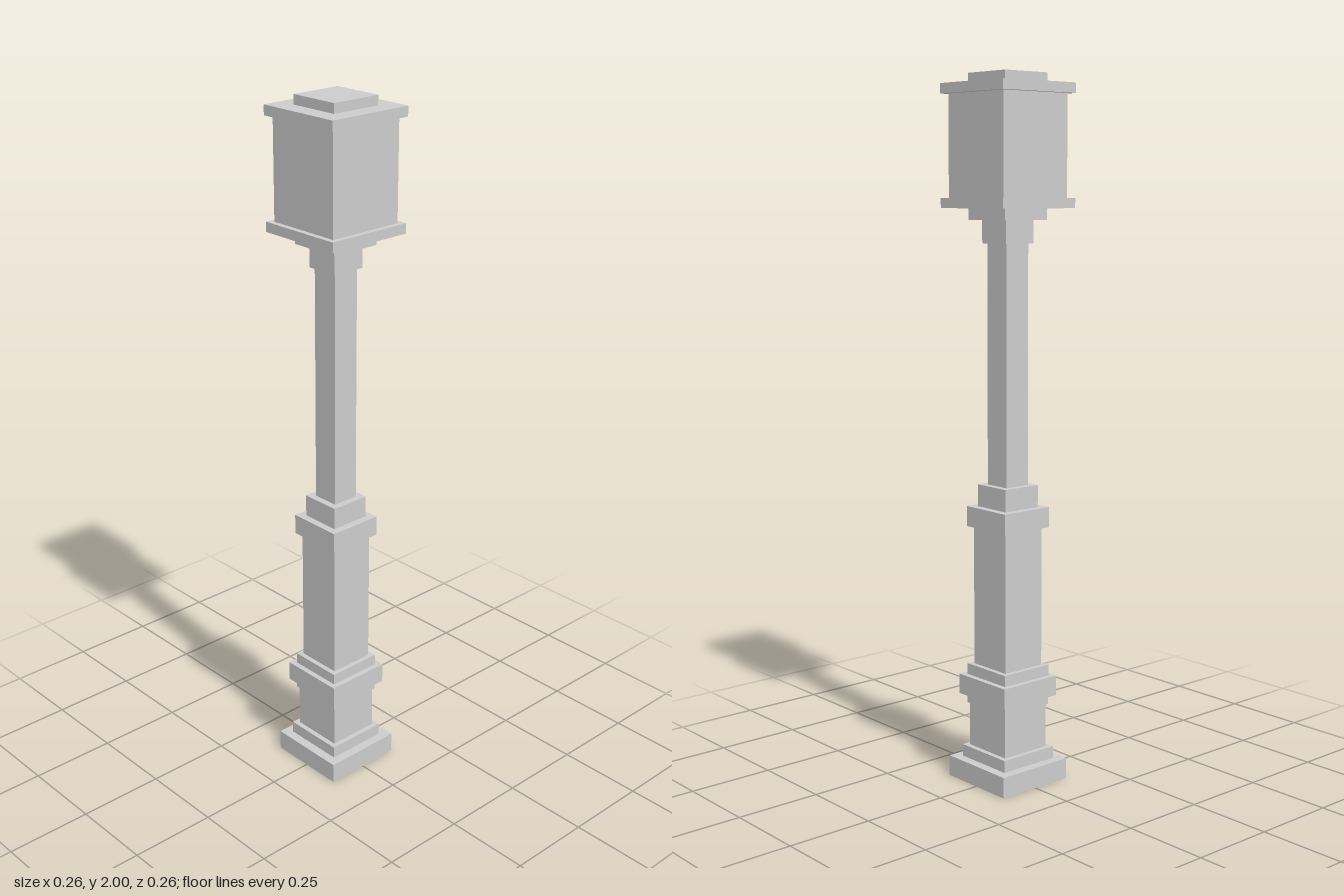
import * as THREE from 'three';

// Square tiers from the ground up: name, width, height of the top edge
const tiers = [
  ['basePlinth', 0.24, 0.06],
  ['baseStep', 0.185, 0.095],
  ['pedestal', 0.155, 0.222],
  ['lowerBandUnderside', 0.165, 0.249],
  ['lowerBand', 0.197, 0.307],
  ['lowerBandTop', 0.165, 0.339],
  ['column', 0.136, 0.742],
  ['upperBand', 0.165, 0.8],
  ['poleSocket', 0.12, 0.863],
  ['pole', 0.08, 1.54],
  ['poleCollar', 0.1, 1.604],
  ['lanternSupport', 0.153, 1.636],
  ['lanternFloor', 0.262, 1.664],
  ['lanternBody', 0.23, 1.945],
  ['lanternRoof', 0.262, 1.973],
  ['roofCap', 0.153, 2],
];

export function createModel() {
  const lampPost = new THREE.Group();
  lampPost.name = 'lampPost';
  const material = new THREE.MeshStandardMaterial({ color: 0xcccccc, flatShading: true });

  // Stack each tier on the one below
  let bottom = 0;
  for (const [name, width, top] of tiers) {
    const mesh = new THREE.Mesh(new THREE.BoxGeometry(width, top - bottom, width), material);
    mesh.name = name;
    mesh.position.y = (bottom + top) / 2;
    lampPost.add(mesh);
    bottom = top;
  }
  return lampPost;
}
